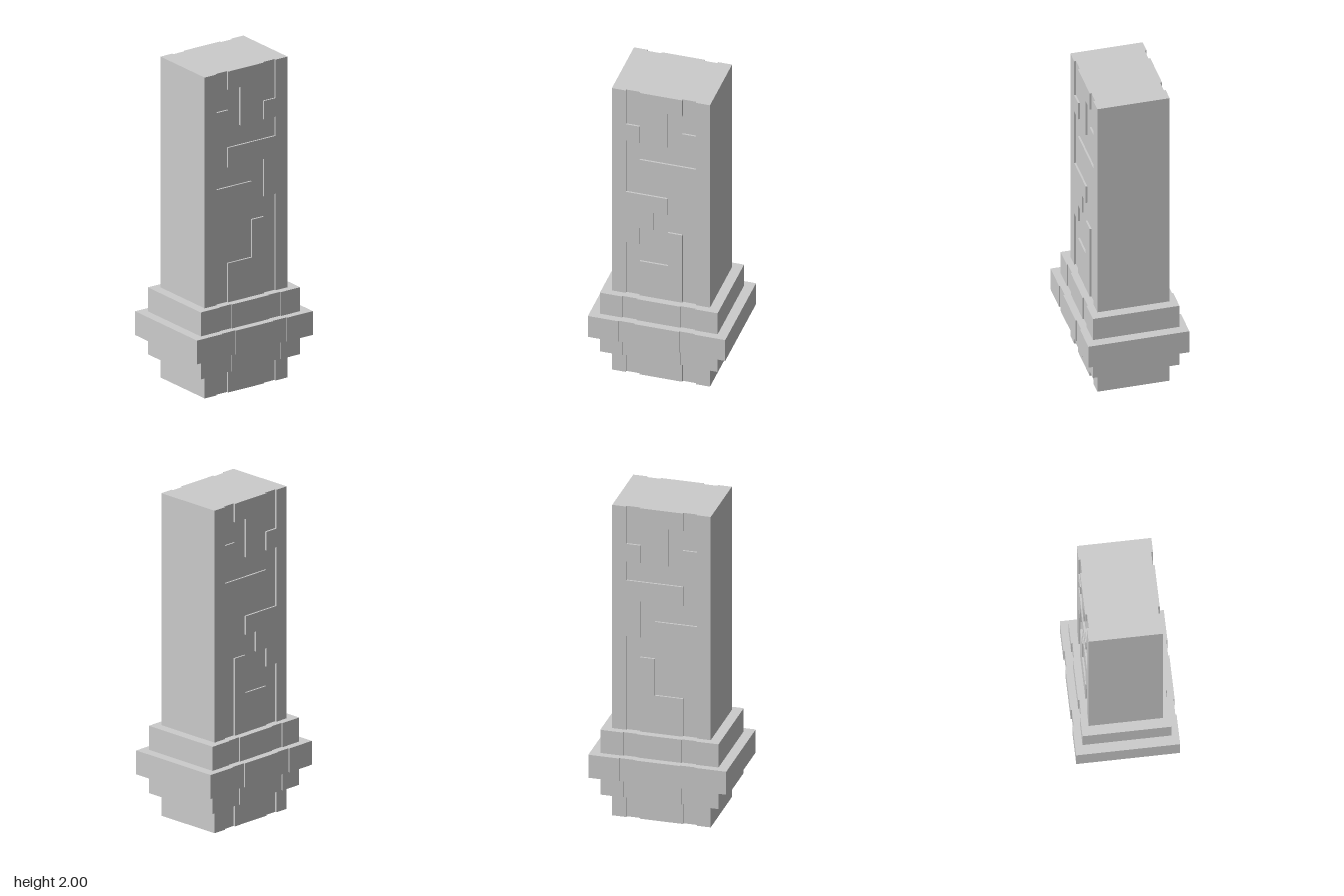
import * as THREE from 'three';

const material = new THREE.MeshStandardMaterial({ color: 0xcccccc, flatShading: true });

const shapeOf = (points) => new THREE.Shape(points.map(([a, b]) => new THREE.Vector2(a, b)));

function add(group, name, geometry) {
  const mesh = new THREE.Mesh(geometry, material);
  mesh.name = name;
  group.add(mesh);
  return mesh;
}

// Stepped collar: a rectangle with two shallow notches on each long side
function collar(halfX, halfZ, y0, y1, notchIn, notchOut) {
  const inset = halfX - 0.007;
  const side = [
    [halfX, -halfZ], [halfX, -notchOut], [inset, -notchOut], [inset, -notchIn], [halfX, -notchIn],
    [halfX, notchIn], [inset, notchIn], [inset, notchOut], [halfX, notchOut], [halfX, halfZ],
  ];
  const outline = [...side, ...side.map(([x, z]) => [-x, -z])];
  const geometry = new THREE.ExtrudeGeometry(shapeOf(outline), { depth: y1 - y0, bevelEnabled: false });
  return geometry.rotateX(-Math.PI / 2).translate(0, y0, 0);
}

// Raised panels as (z, y) outlines; the gaps between them form the maze groove
const panels = {
  frontPanel: [
    [0.3, 0], [0.3, 2], [0.215, 2], [0.215, 1.76], [0.13, 1.76], [0.13, 1.645], [0.215, 1.645],
    [0.215, 1.28], [-0.04, 1.28], [-0.04, 1.165], [0.045, 1.165], [0.045, 1.04], [0.13, 1.04],
    [0.13, 0.925], [0.215, 0.925], [0.215, 0],
  ],
  backPanel: [
    [-0.3, 0], [-0.3, 2], [-0.213, 2], [-0.213, 1.76], [-0.13, 1.76], [-0.13, 1.645], [-0.213, 1.645],
    [-0.213, 1.525], [0.13, 1.525], [0.13, 1.4], [-0.13, 1.4], [-0.13, 1.165], [-0.213, 1.165], [-0.213, 0],
  ],
  lowerPanel: [[0.13, 0], [0.13, 0.805], [-0.042, 0.805], [-0.042, 1.04], [-0.13, 1.04], [-0.13, 0]],
  hangingPanel: [
    [0.13, 2], [0.13, 1.885], [0.042, 1.885], [0.042, 1.645], [-0.04, 1.645], [-0.04, 1.885],
    [-0.13, 1.885], [-0.13, 2],
  ],
};

export function createModel() {
  const group = new THREE.Group();
  group.name = 'pillar';
  const half = 0.219, depth = 0.011, core = half - depth;

  // Column core
  add(group, 'columnCore', new THREE.BoxGeometry(core * 2, 2, 0.6).translate(0, 1, 0));

  // Raised maze panels on both long sides, extruded along -x
  for (const [name, points] of Object.entries(panels)) {
    for (const [side, x] of [['left', half], ['right', -core]]) {
      const geometry = new THREE.ExtrudeGeometry(shapeOf(points), { depth, bevelEnabled: false });
      geometry.rotateY(-Math.PI / 2).translate(x, 0, 0);
      add(group, `${side} ${name}`, geometry);
    }
  }

  // Three stacked collars around the base
  add(group, 'lowerCollar', collar(0.262, 0.36, 0.145, 0.265, 0.133, 0.222));
  add(group, 'middleCollar', collar(0.306, 0.42, 0.265, 0.413, 0.137, 0.233));
  add(group, 'upperCollar', collar(0.262, 0.36, 0.413, 0.562, 0.133, 0.222));

  return group;
}
